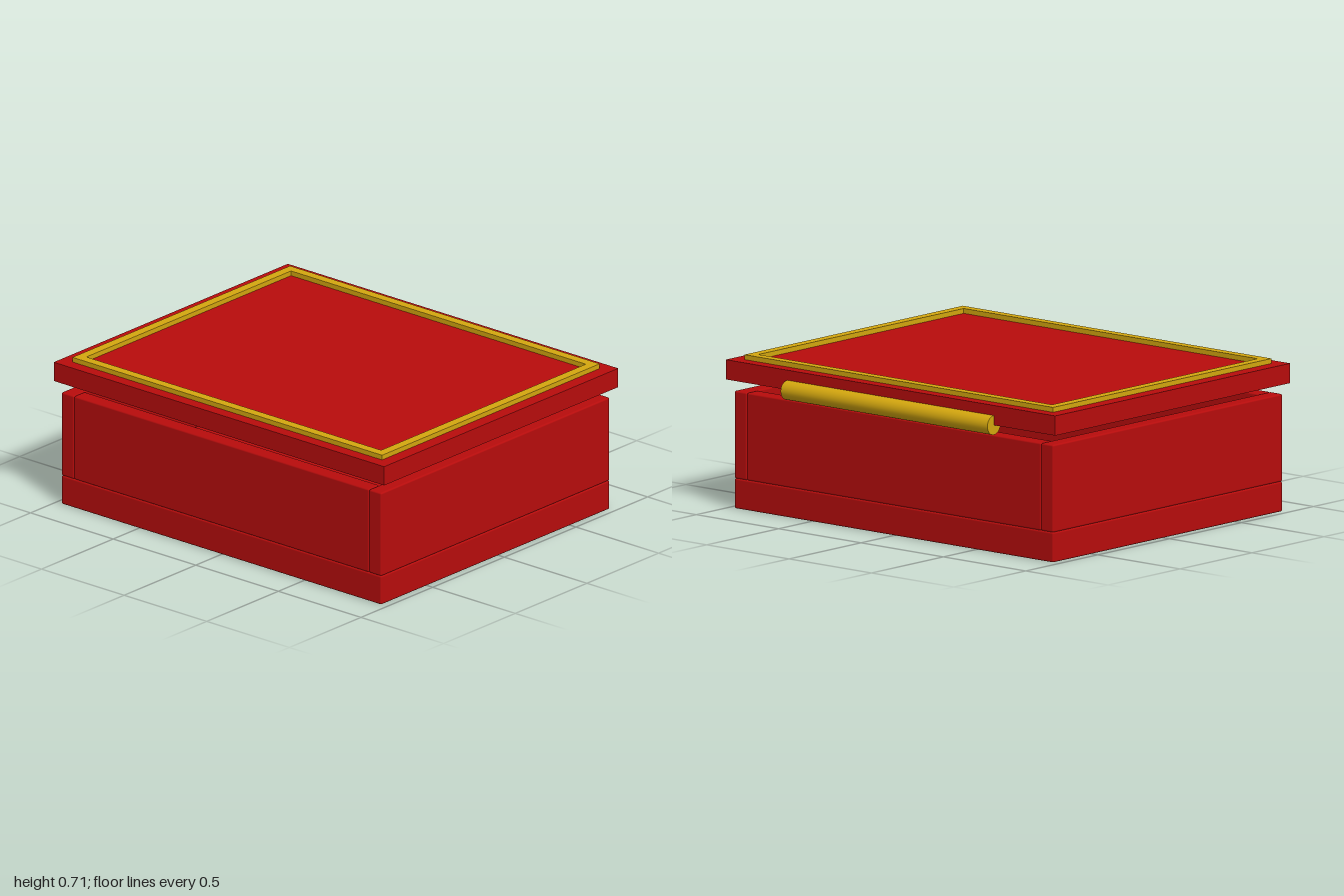
import * as THREE from 'three';
import { RoundedBoxGeometry } from 'three/addons/geometries/RoundedBoxGeometry.js';

export function createModel() {
  const red = new THREE.MeshStandardMaterial({ color: 0xb80c0c });
  red.name = 'red lacquer';
  const gold = new THREE.MeshStandardMaterial({ color: 0xd4a70f });
  gold.name = 'gold';

  const model = new THREE.Group();
  model.name = 'hingedBox';

  // Box given by its min and max corners; bevel > 0 softens the edges
  function slab(parent, name, material, [x0, y0, z0], [x1, y1, z1], bevel = 0) {
    const size = [x1 - x0, y1 - y0, z1 - z0];
    const geometry = bevel
      ? new RoundedBoxGeometry(...size, 2, bevel)
      : new THREE.BoxGeometry(...size);
    const mesh = new THREE.Mesh(geometry, material);
    mesh.name = name;
    mesh.position.set((x0 + x1) / 2, (y0 + y1) / 2, (z0 + z1) / 2);
    parent.add(mesh);
  }

  // Hollow body: thick base and four softly bevelled walls
  const body = new THREE.Group();
  body.name = 'body';
  const back = -0.773, front = 0.822, wall = 0.075, bevel = 0.008;
  slab(body, 'base', red, [-0.968, 0, back], [0.968, 0.14, front], bevel);
  slab(body, 'leftWall', red, [0.893, 0.14, back], [0.968, 0.548, front], bevel);
  slab(body, 'rightWall', red, [-0.968, 0.14, back], [-0.893, 0.548, front], bevel);
  slab(body, 'frontWall', red, [-0.893, 0.14, front - wall], [0.893, 0.548, front], bevel);
  slab(body, 'backWall', red, [-0.893, 0.14, back], [0.893, 0.548, back + wall], bevel);

  // Lid with a raised gold border
  const lid = new THREE.Group();
  lid.name = 'lid';
  slab(lid, 'lidPanel', red, [-1, 0.6, -0.795], [1, 0.692, 0.838]);
  const y0 = 0.692, y1 = 0.715;
  slab(lid, 'frontTrim', gold, [-0.937, y0, 0.735], [0.937, y1, 0.78]);
  slab(lid, 'backTrim', gold, [-0.937, y0, -0.738], [0.937, y1, -0.693]);
  slab(lid, 'leftTrim', gold, [0.892, y0, -0.693], [0.937, y1, 0.735]);
  slab(lid, 'rightTrim', gold, [-0.937, y0, -0.693], [-0.892, y1, 0.735]);

  // Hinge rod along the lower back edge of the lid
  const hinge = new THREE.Mesh(new THREE.CylinderGeometry(0.045, 0.045, 1.255, 32), gold);
  hinge.name = 'hingeRod';
  hinge.rotation.z = Math.PI / 2;
  hinge.position.set(0, 0.6, -0.795);

  model.add(body, lid, hinge);
  return model;
}
